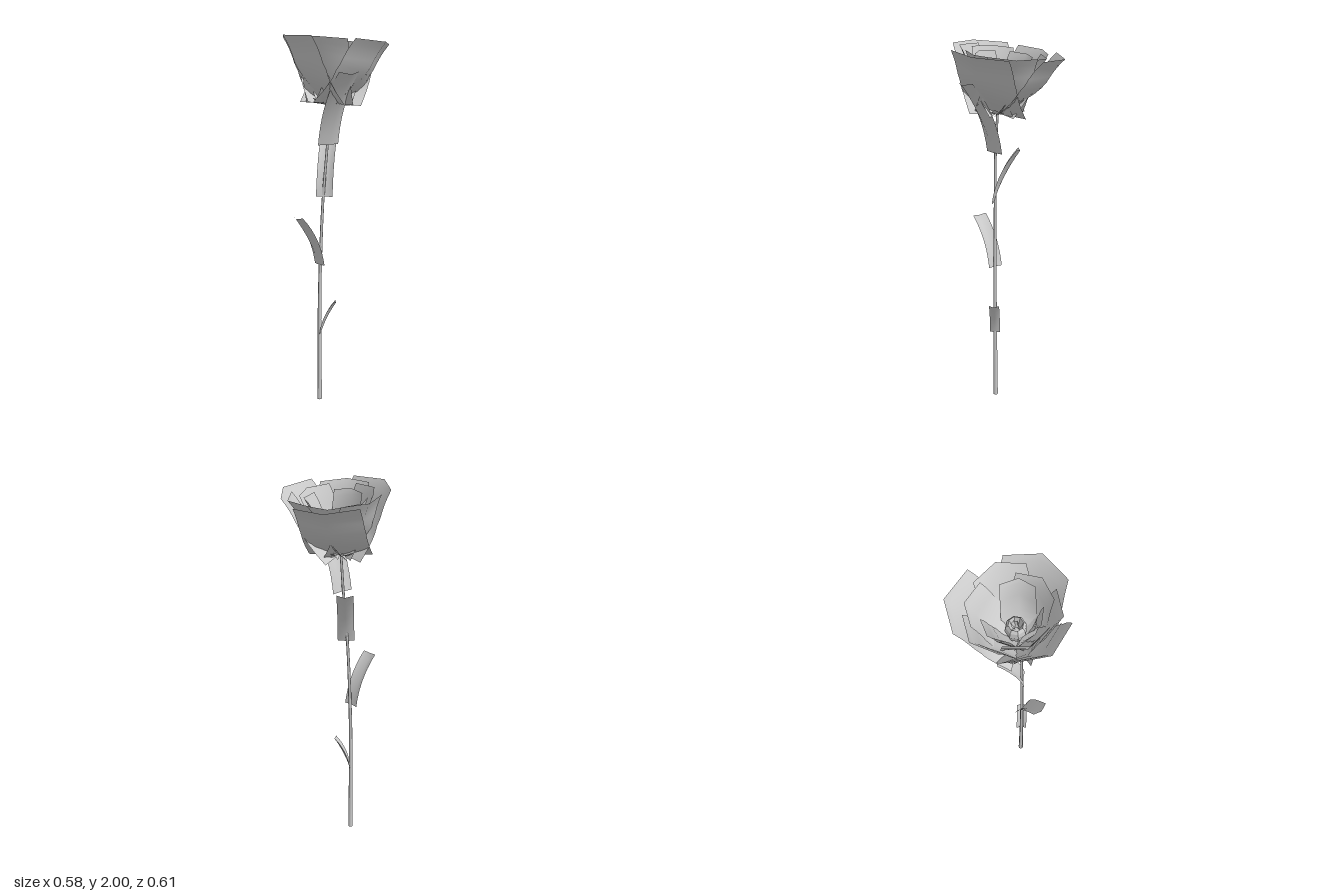
import * as THREE from 'three';

const material = new THREE.MeshStandardMaterial({ color: 0xcccccc, side: THREE.DoubleSide });
const flatMaterial = new THREE.MeshStandardMaterial({ color: 0xcccccc, side: THREE.DoubleSide, flatShading: true });
const lerp = THREE.MathUtils.lerp;
const baseZ = 0.033; // where the bloom sits on the stem

// Bend a plane: place(u in -1..1, t in 0..1) gives the point on the sheet
function sheet(name, uSegments, tSegments, place) {
  const geometry = new THREE.PlaneGeometry(2, 1, uSegments, tSegments);
  const p = geometry.attributes.position;
  for (let i = 0; i < p.count; i++) {
    const v = place(p.getX(i), p.getY(i) + 0.5);
    p.setXYZ(i, v.x, v.y, v.z);
  }
  geometry.computeVertexNormals();
  const mesh = new THREE.Mesh(geometry, material);
  mesh.name = name;
  return mesh;
}

// Thin stem following a gentle curve, thickening toward the foot
function createStem() {
  const curve = new THREE.CatmullRomCurve3([
    new THREE.Vector3(-0.025, 0, 0.088),
    new THREE.Vector3(-0.022, 0.6, 0.088),
    new THREE.Vector3(-0.012, 1.1, 0.073),
    new THREE.Vector3(0.002, 1.42, 0.052),
    new THREE.Vector3(0.002, 1.65, baseZ),
  ]);
  const geometry = new THREE.CylinderGeometry(1, 1, 1, 8, 16);
  const p = geometry.attributes.position;
  for (let i = 0; i < p.count; i++) {
    const t = p.getY(i) + 0.5;
    const c = curve.getPoint(t);
    const r = 0.007 + 0.006 * Math.pow(1 - t, 3);
    p.setXYZ(i, p.getX(i) * r + c.x, c.y, p.getZ(i) * r + c.z);
  }
  geometry.computeVertexNormals();
  const mesh = new THREE.Mesh(geometry, material);
  mesh.name = 'stem';
  return mesh;
}

// Strap-shaped leaf curving outward from base to tip, folded along its midrib
function createLeaf(base, tip, width) {
  const out = new THREE.Vector3(tip[0] - base[0], 0, tip[2] - base[2]);
  const reach = out.length();
  out.normalize();
  const side = new THREE.Vector3(out.z, 0, -out.x);
  return sheet('leaf', 2, 8, (u, t) => {
    const fold = width * Math.abs(u) * (0.08 + 0.2 * Math.sin(Math.PI * t * 0.85));
    return new THREE.Vector3(base[0], lerp(base[1], tip[1], t) + fold * 0.6 * t, base[2])
      .addScaledVector(out, reach * (0.6 * t + 0.4 * t * t) - fold * 0.9)
      .addScaledVector(side, u * width / 2);
  });
}

// Petal: a straight base edge that swells into a cup and flares at the rim
function createPetal(degrees, radius, width, top) {
  const a = THREE.MathUtils.degToRad(degrees);
  const out = new THREE.Vector3(Math.cos(a), 0, Math.sin(a));
  const side = new THREE.Vector3(-out.z, 0, out.x);
  return sheet('petal', 2, 10, (u, t) => {
    const swell = 0.64 * Math.sin(Math.min(t / 0.65, 1) * Math.PI / 2) + 0.36 * Math.pow(t, 2.5);
    const cup = 0.235 * width * Math.abs(u) * Math.min(1, t * 2);
    const v = new THREE.Vector3(0, lerp(1.632, top, t), baseZ * (1 - t))
      .addScaledVector(out, lerp(0.005, radius, swell) - cup)
      .addScaledVector(side, u * width / 2);
    v.y += 0.11 * v.z + 0.03 * v.x; // the bloom leans back
    return v;
  });
}

function createBloom() {
  const bloom = new THREE.Group();
  bloom.name = 'bloom';
  // Petal layers from outside in: width, rim height, [angle, radius] of each petal
  const layers = [
    [0.34, 1.968, [[98.5, 0.303], [-126.5, 0.336], [-21.6, 0.312]]],
    [0.265, 1.968, [[184, 0.266], [-67, 0.262], [56, 0.234]]],
    [0.234, 1.958, [[-127, 0.239], [-7, 0.206], [111, 0.211]]],
    [0.175, 1.942, [[177, 0.18], [-40, 0.17], [76, 0.15]]],
  ];
  for (const [width, top, petals] of layers) {
    for (const [angle, radius] of petals) bloom.add(createPetal(angle, radius, width, top));
  }

  // Closed heart of the bloom: faceted bud with an inward lip
  const profile = [[0.015, 0], [0.043, 0.05], [0.056, 0.11], [0.051, 0.15], [0.038, 0.17], [0.028, 0.13], [0.015, 0.09]]
    .map(([r, y]) => new THREE.Vector2(r, y));
  const bud = new THREE.Mesh(new THREE.LatheGeometry(profile, 8), flatMaterial);
  bud.name = 'bud';
  bud.position.set(-0.003, 1.64, 0.015);
  bud.rotation.y = 0.25;
  bloom.add(bud);

  // Small curled petal inside the bud
  const curl = new THREE.Mesh(new THREE.CylinderGeometry(0.02, 0.01, 0.07, 5, 1, true, 0, 4.6), flatMaterial);
  curl.name = 'innerCurl';
  curl.position.set(0.002, 1.765, 0.01);
  curl.rotation.z = 0.2;
  bloom.add(curl);

  // Pointed sepals spreading below the petals
  for (let i = 0; i < 6; i++) {
    const a = i * Math.PI / 3 + 0.3;
    const sepal = sheet('sepal', 2, 5, (u, t) => {
      const r = 0.005 + 0.13 * t;
      const w = u * 0.028 * Math.sin(Math.PI * (0.2 + 0.8 * t));
      return new THREE.Vector3(
        Math.cos(a) * r - Math.sin(a) * w,
        1.63 + 0.045 * t * t + 0.012 * Math.abs(u) * (1 - t),
        baseZ + Math.sin(a) * r + Math.cos(a) * w);
    });
    bloom.add(sepal);
  }
  return bloom;
}

export function createModel() {
  const model = new THREE.Group();
  model.name = 'flower';
  model.add(createStem(), createBloom());
  // Leaves from the top down: base, tip, width
  const leaves = [
    [[0.018, 1.42, 0.052], [0.222, 1.8, 0.056], 0.13],
    [[0, 1.14, 0.07], [-0.1, 1.43, -0.032], 0.09],
    [[-0.024, 0.765, 0.092], [-0.024, 1.03, 0.24], 0.09],
    [[-0.018, 0.38, 0.083], [0.04, 0.555, 0.022], 0.056],
  ];
  for (const [base, tip, width] of leaves) model.add(createLeaf(base, tip, width));
  return model;
}
